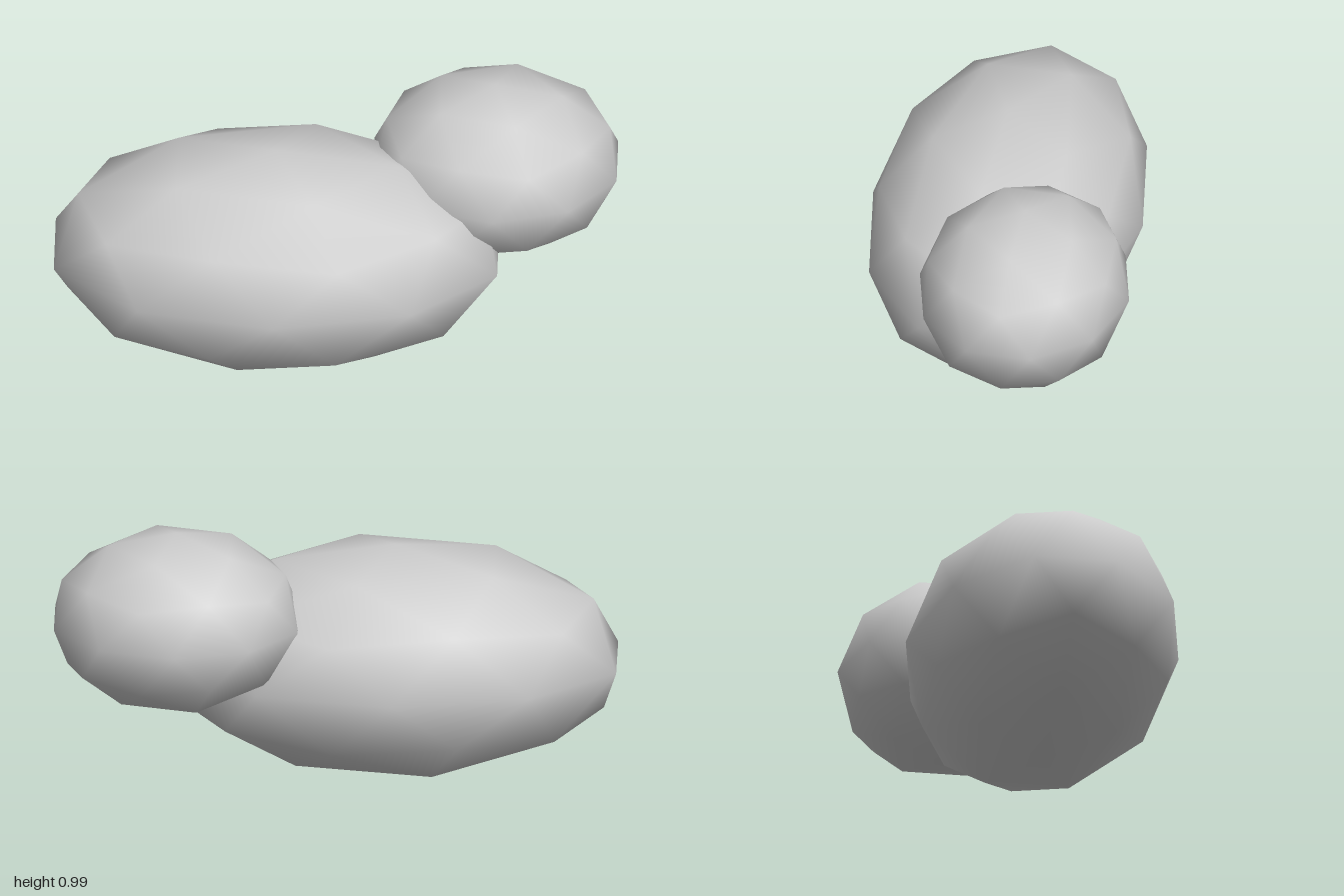
import * as THREE from 'three';

export function createModel() {
  const group = new THREE.Group();
  const material = new THREE.MeshStandardMaterial({ color: 0xcccccc });

  // Smooth-shaded low-poly icosphere, tilted so that one corner is the top pole
  const icosphere = new THREE.IcosahedronGeometry(1, 1);
  icosphere.rotateZ(-Math.atan(2 / (1 + Math.sqrt(5))));

  function ellipsoid(name, centre, radii) {
    const mesh = new THREE.Mesh(icosphere, material);
    mesh.name = name;
    mesh.position.set(...centre);
    mesh.scale.set(...radii);
    group.add(mesh);
  }

  // Long body with a smaller head at one end
  ellipsoid('body', [-0.21, 0.43, 0.062], [0.831, 0.43, 0.492]);
  ellipsoid('head', [0.565, 0.66, -0.172], [0.457, 0.332, 0.382]);

  return group;
}
